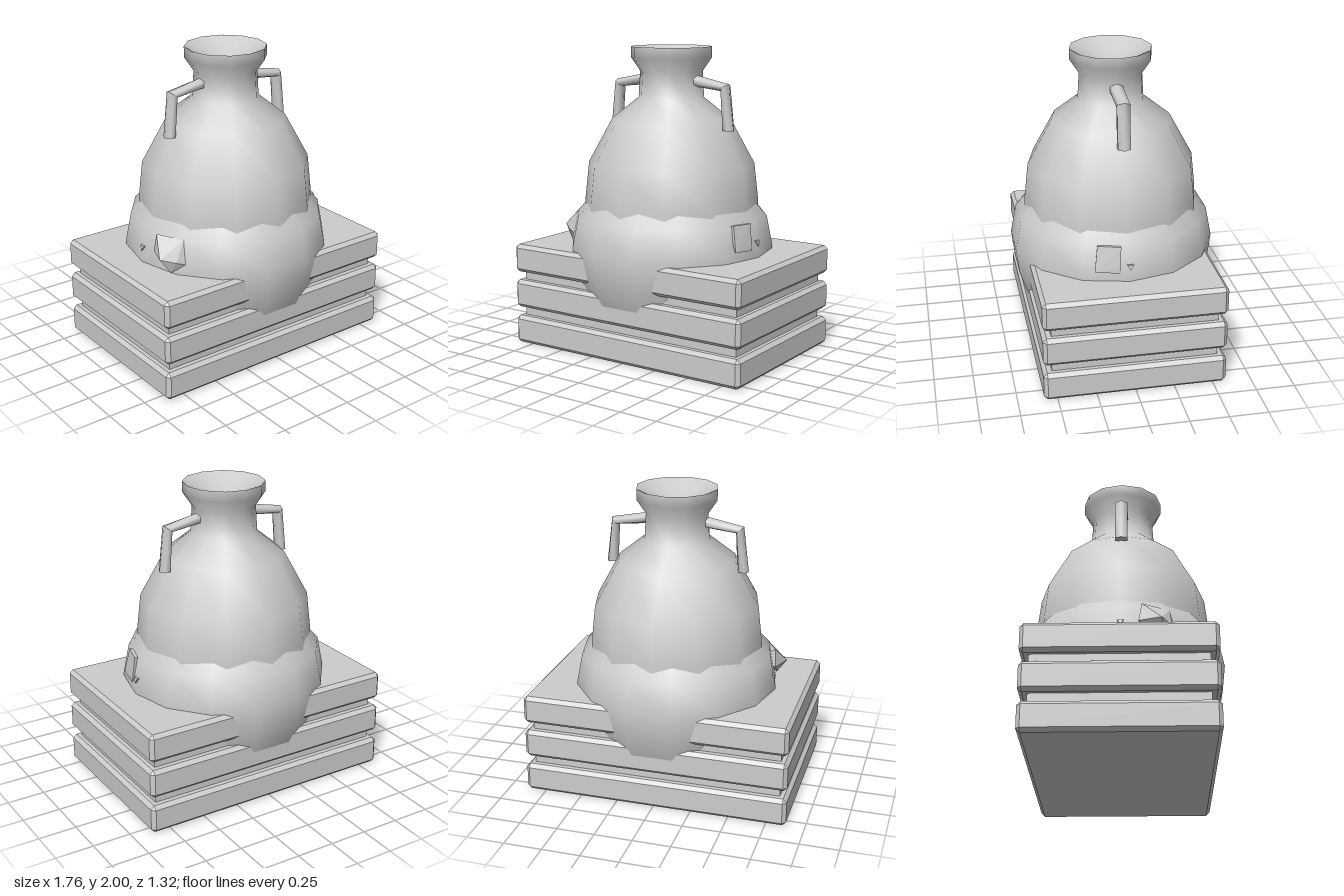
import * as THREE from 'three';
import { ConvexGeometry } from 'three/addons/geometries/ConvexGeometry.js';

const stone = new THREE.MeshStandardMaterial({ color: 0xcccccc });
stone.name = 'greyStone';

const V = (x, y, z) => new THREE.Vector3(x, y, z);

function add(parent, name, geometry) {
  const mesh = new THREE.Mesh(geometry, stone);
  mesh.name = name;
  parent.add(mesh);
  return mesh;
}

const lathe = (profile, sides) =>
  new THREE.LatheGeometry(profile.map(([r, y]) => new THREE.Vector2(r, y)), sides, Math.PI / 2);

// Box with flat chamfers on every edge
function chamferedBox(hx, hy, hz, c) {
  const points = [];
  for (const x of [-1, 1]) for (const y of [-1, 1]) for (const z of [-1, 1]) {
    points.push(V(x * hx, y * (hy - c), z * (hz - c)));
    points.push(V(x * (hx - c), y * hy, z * (hz - c)));
    points.push(V(x * (hx - c), y * (hy - c), z * hz));
  }
  return new ConvexGeometry(points);
}

// Six-sided bent bar; each section is [outerX, outerY, innerX, innerY]
function handleGeometry() {
  const sections = [
    [0.17, 1.825, 0.17, 1.748],
    [0.44, 1.772, 0.388, 1.725],
    [0.477, 1.475, 0.402, 1.48],
  ];
  const ring = [[0, 0], [0.25, 1], [0.75, 1], [1, 0], [0.75, -1], [0.25, -1]];
  const positions = [];
  const index = [];
  const pushRing = ([ox, oy, ix, iy]) => {
    for (const [t, s] of ring) positions.push(ox + (ix - ox) * t, oy + (iy - oy) * t, s * 0.04);
  };
  // Each straight length has its own rings so that the bend stays sharp
  for (let i = 0; i < 2; i++) {
    const base = positions.length / 3;
    pushRing(sections[i]);
    pushRing(sections[i + 1]);
    for (let k = 0; k < 6; k++) {
      const a = base + k, b = base + (k + 1) % 6;
      index.push(a, b, a + 6, b, b + 6, a + 6);
    }
  }
  // End cap
  const cap = positions.length / 3;
  pushRing(sections[2]);
  for (let k = 1; k < 5; k++) index.push(cap, cap + k, cap + k + 1);
  const geometry = new THREE.BufferGeometry();
  geometry.setAttribute('position', new THREE.Float32BufferAttribute(positions, 3));
  geometry.setIndex(index);
  geometry.computeVertexNormals();
  return geometry;
}

export function createModel() {
  const model = new THREE.Group();
  model.name = 'vaseOnPlinth';

  // Plinth: three chamfered slabs around a narrower core
  const plinth = new THREE.Group();
  plinth.name = 'plinth';
  model.add(plinth);
  for (const y of [0.095, 0.342, 0.586]) {
    add(plinth, 'slab', chamferedBox(0.88, 0.094, 0.585, 0.024)).position.y = y;
  }
  add(plinth, 'core', new THREE.BoxGeometry(1.66, 0.5, 1.06)).position.y = 0.35;

  // Round lower bowl that holds the vase
  add(model, 'lowerBowl', lathe([
    [0, 0.1], [0.3, 0.13], [0.44, 0.18], [0.535, 0.25], [0.595, 0.35],
    [0.655, 0.53], [0.675, 0.7], [0.635, 0.9], [0.5, 1.05],
  ], 14));

  // Vase body, neck and flared lip
  add(model, 'vaseBody', lathe([
    [0.58, 0.85], [0.575, 1.0], [0.548, 1.24], [0.39, 1.53], [0.215, 1.67],
    [0.205, 1.84], [0.265, 1.93], [0.265, 2.0],
  ], 12));
  add(model, 'mouth', lathe([
    [0.265, 2.0], [0.25, 1.995], [0.17, 1.95], [0.09, 1.91], [0, 1.9],
  ], 12));

  // Pair of bent handles
  for (const side of [0, Math.PI]) {
    add(model, 'handle', handleGeometry()).rotation.y = side;
  }

  // Small points poking out of the bowl on both sides
  for (const s of [-1, 1]) {
    add(model, 'sideStud', new ConvexGeometry([
      V(s * 0.6, 0.79, -0.02), V(s * 0.6, 0.79, 0.02), V(s * 0.6, 0.755, 0),
      V(s * 0.668, 0.79, -0.02), V(s * 0.668, 0.79, 0.02), V(s * 0.675, 0.755, 0),
    ]));
  }

  // Broken chunk standing out of the right side
  add(model, 'rightChunk', new ConvexGeometry([
    V(-0.64, 0.91, 0.13), V(-0.55, 0.905, 0.3), V(-0.56, 0.75, 0.335), V(-0.65, 0.79, 0.11),
    V(-0.7, 0.79, 0.25), V(-0.63, 0.69, 0.27), V(-0.62, 0.77, 0.315), V(-0.5, 0.8, 0.15),
  ]));

  // Shallow chunk in the left side
  add(model, 'leftChunk', new ConvexGeometry([
    V(0.642, 0.905, 0.055), V(0.605, 0.91, 0.2), V(0.662, 0.735, 0.065), V(0.635, 0.745, 0.22),
    V(0.66, 0.77, 0.07), V(0.56, 0.9, 0.05), V(0.55, 0.9, 0.19), V(0.56, 0.74, 0.14),
  ]));

  return model;
}
